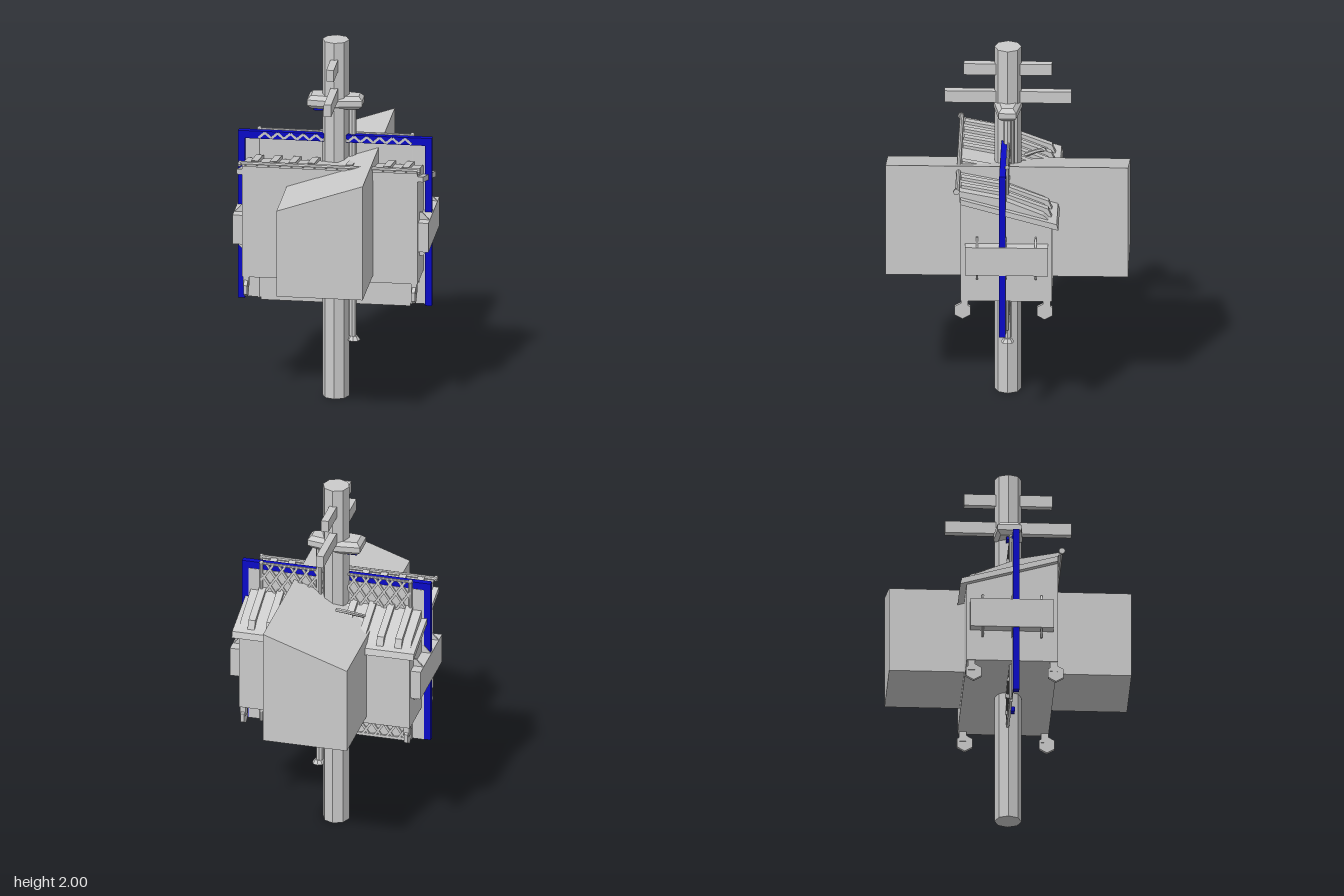
import * as THREE from 'three';

const grey = new THREE.MeshStandardMaterial({ color: 0xcccccc, flatShading: true });
const blue = new THREE.MeshStandardMaterial({ color: 0x0a0ac8, flatShading: true });

function add(parent, name, geo, x = 0, y = 0, z = 0, mat = grey) {
  const m = new THREE.Mesh(geo, mat);
  m.name = name;
  m.position.set(x, y, z);
  parent.add(m);
  return m;
}

// Box from its limits
function block(parent, name, x0, x1, y0, y1, z0, z1, mat = grey) {
  return add(parent, name, new THREE.BoxGeometry(x1 - x0, y1 - y0, z1 - z0),
    (x0 + x1) / 2, (y0 + y1) / 2, (z0 + z1) / 2, mat);
}

function shapeOf(points) {
  return new THREE.Shape(points.map(([a, b]) => new THREE.Vector2(a, b)));
}

// Profile in (z, y), extruded along x and centred
function across(points, width) {
  const g = new THREE.ExtrudeGeometry(shapeOf(points), { depth: width, bevelEnabled: false });
  return g.translate(0, 0, -width / 2).rotateY(-Math.PI / 2);
}

// Flat slat between two points in the xy plane
function slat(parent, name, x0, y0, x1, y1, z, width, depth) {
  const m = add(parent, name, new THREE.BoxGeometry(Math.hypot(x1 - x0, y1 - y0), width, depth),
    (x0 + x1) / 2, (y0 + y1) / 2, z);
  m.rotation.z = Math.atan2(y1 - y0, x1 - x0);
}

function pipeX(parent, name, r, length, y, z, sides = 8) {
  add(parent, name, new THREE.CylinderGeometry(r, r, length, sides).rotateZ(Math.PI / 2), 0, y, z);
}

function buildPole() {
  const g = new THREE.Group();
  g.name = 'utilityPole';
  add(g, 'poleShaft', new THREE.CylinderGeometry(0.072, 0.072, 2, 8), 0, 1, 0);
  block(g, 'upperCrossarm', -0.02, 0.02, 1.84, 1.905, -0.235, 0.235);
  block(g, 'lowerCrossarm', -0.02, 0.02, 1.678, 1.745, -0.337, 0.337);

  // Chamfered collar around the shaft
  const outline = [[-0.127, -0.045], [-0.015, -0.057], [0.127, -0.03], [0.127, 0.03], [-0.015, 0.057], [-0.127, 0.045]];
  const collar = new THREE.ExtrudeGeometry(shapeOf(outline),
    { depth: 0.031, bevelThickness: 0.021, bevelSize: 0.02, bevelSegments: 1 });
  add(g, 'collar', collar.rotateX(-Math.PI / 2), 0, 1.642, 0);

  // Conduit with a flared foot
  add(g, 'conduit', new THREE.CylinderGeometry(0.021, 0.021, 1.28, 8), 0.09, 0.98, 0);
  add(g, 'conduitFoot', new THREE.CylinderGeometry(0.021, 0.036, 0.022, 8), 0.096, 0.327, 0);
  add(g, 'thinConduit', new THREE.CylinderGeometry(0.009, 0.009, 0.3, 6), 0.08, 1.48, -0.027);

  block(g, 'upperClip', -0.117, -0.055, 1.6, 1.616, -0.015, 0.015, blue);
  block(g, 'lowerClip', -0.12, -0.083, 0.593, 0.618, 0.005, 0.03, blue);
  return g;
}

function buildShed() {
  // Long block with a roof sloping down toward -x
  const geo = new THREE.ExtrudeGeometry(
    shapeOf([[-0.232, 0.763], [0.23, 0.763], [0.23, 1.402], [-0.232, 1.243]]),
    { depth: 1.29, bevelEnabled: false });
  const g = new THREE.Group();
  g.name = 'slopedBlock';
  add(g, 'blockBody', geo, 0, 0, -0.645);
  return g;
}

function buildDumpster() {
  const g = new THREE.Group();
  g.name = 'dumpster';
  add(g, 'binBody', across([[0.24, 0.725], [0.24, 1.33], [-0.245, 1.18], [-0.245, 0.725]], 0.94));
  add(g, 'lidSkirt', across([[0.24, 1.3], [0.24, 1.33], [-0.272, 1.19], [-0.281, 1.155]], 1.0));
  add(g, 'lidPanel', across([[0.245, 1.3], [0.245, 1.365], [0.03, 1.323], [-0.2, 1.23], [-0.25, 1.18]], 0.94));

  // Raised ribs on the lid
  for (const s of [-1, 1]) for (const x of [0.102, 0.203, 0.304, 0.404])
    add(g, 'lidRib', across([[0.24, 1.34], [0.24, 1.38], [0.03, 1.342], [-0.225, 1.245], [-0.25, 1.18], [0.03, 1.3]], 0.038), s * x);

  // Hinge bar along the front top edge
  pipeX(g, 'hingeBar', 0.012, 0.97, 1.37, 0.257);
  block(g, 'hingeStrip', -0.47, 0.47, 1.35, 1.362, 0.235, 0.258);

  for (const s of [-1, 1]) {
    add(g, 'hingeKnob', new THREE.CylinderGeometry(0.017, 0.017, 0.014, 8).rotateZ(Math.PI / 2), s * 0.48, 1.368, 0.262);

    // Lifting pocket with gussets
    const side = new THREE.Group();
    side.name = 'sidePocket';
    add(side, 'pocket', new THREE.BoxGeometry(0.065, 0.163, 0.442), s * 0.4925, 0.98, -0.005);
    for (const z of [0.152, 0, -0.16]) for (const v of [-1, 1]) {
      const tri = new THREE.BufferGeometry();
      const corners = [[s * 0.468, 0.98 + v * 0.08], [s * 0.522, 0.98 + v * 0.08], [s * 0.485, 0.98 + v * 0.122], [s * 0.468, 0.98 + v * 0.122]];
      if (s * v < 0) corners.reverse();
      tri.copy(new THREE.ExtrudeGeometry(shapeOf(corners), { depth: 0.01, bevelEnabled: false }));
      add(side, 'gusset', tri, 0, 0, z - 0.005);
    }
    g.add(side);

    // Castors at the corners
    for (const z of [0.23, -0.207]) {
      const castor = new THREE.Group();
      castor.name = 'castor';
      add(castor, 'wheel', new THREE.CylinderGeometry(0.048, 0.048, 0.02, 6).rotateX(Math.PI / 2).rotateY(Math.PI / 2), s * 0.45, 0.662, z);
      block(castor, 'fork', s * 0.45 - 0.015, s * 0.45 + 0.015, 0.67, 0.73, z - 0.03, z + 0.008);
      g.add(castor);
    }
  }
  return g;
}

function buildFence() {
  const g = new THREE.Group();
  g.name = 'fencePanel';
  const X = 0.41, bottom = 0.53, top = 1.475;

  // Blue frame
  for (const s of [-1, 1])
    add(g, 'framePost', new THREE.BoxGeometry(0.036, 0.94, 0.033), s * 0.501, 1.005, 0.0165, blue);
  block(g, 'frameTopRail', -0.483, 0.483, 1.433, top, 0, 0.033, blue);

  // Backing sheet, pipes and rails
  block(g, 'backingSheet', -0.483, 0.483, 0.535, 1.435, -0.003, 0.003);
  for (const s of [-1, 1]) {
    add(g, 'fencePipe', new THREE.CylinderGeometry(0.01, 0.01, 0.95, 8), s * X, 1.005, -0.006);
    add(g, 'pipeCap', new THREE.SphereGeometry(0.013, 8, 6), s * X, 1.478, -0.006);
  }
  pipeX(g, 'topPipe', 0.008, 2 * X, 1.476, -0.006);
  pipeX(g, 'lowerPipe', 0.008, 0.9, 0.662, 0.008);
  block(g, 'bottomStrip', -0.4, 0.4, 0.519, 0.535, -0.012, 0.002);

  // Crossed slats clipped to the panel
  const slope = 1.5, step = 0.066, run = (top - bottom) / slope;
  for (let c = -X - run + step; c < X; c += step) {
    const x0 = Math.max(c, -X), x1 = Math.min(c + run, X);
    const y0 = bottom + (x0 - c) * slope, y1 = bottom + (x1 - c) * slope;
    slat(g, 'latticeSlat', x0, y0, x1, y1, -0.007, 0.013, 0.007);
    slat(g, 'latticeSlat', -x0, y0, -x1, y1, -0.012, 0.013, 0.007);
  }

  // Zigzag trim on the top rail
  for (let x = -X; x < X - 0.06; x += 0.0683) {
    slat(g, 'railTrim', x, 1.438, x + 0.034, 1.468, 0.032, 0.013, 0.005);
    slat(g, 'railTrim', x + 0.034, 1.468, x + 0.0683, 1.438, 0.032, 0.013, 0.005);
  }
  return g;
}

function buildArm() {
  // Bent arm behind the pole
  const path = new THREE.CatmullRomCurve3([
    new THREE.Vector3(-0.185, 1.28, -0.09), new THREE.Vector3(-0.15, 1.32, -0.15),
    new THREE.Vector3(-0.1, 1.35, -0.19), new THREE.Vector3(-0.05, 1.36, -0.2)]);
  const g = new THREE.Group();
  g.name = 'bentArm';
  add(g, 'armTube', new THREE.TubeGeometry(path, 8, 0.011, 6));
  return g;
}

export function createModel() {
  const model = new THREE.Group();
  model.name = 'poleWithDumpsterAndFence';
  model.add(buildPole(), buildShed(), buildDumpster(), buildFence(), buildArm());
  return model;
}
